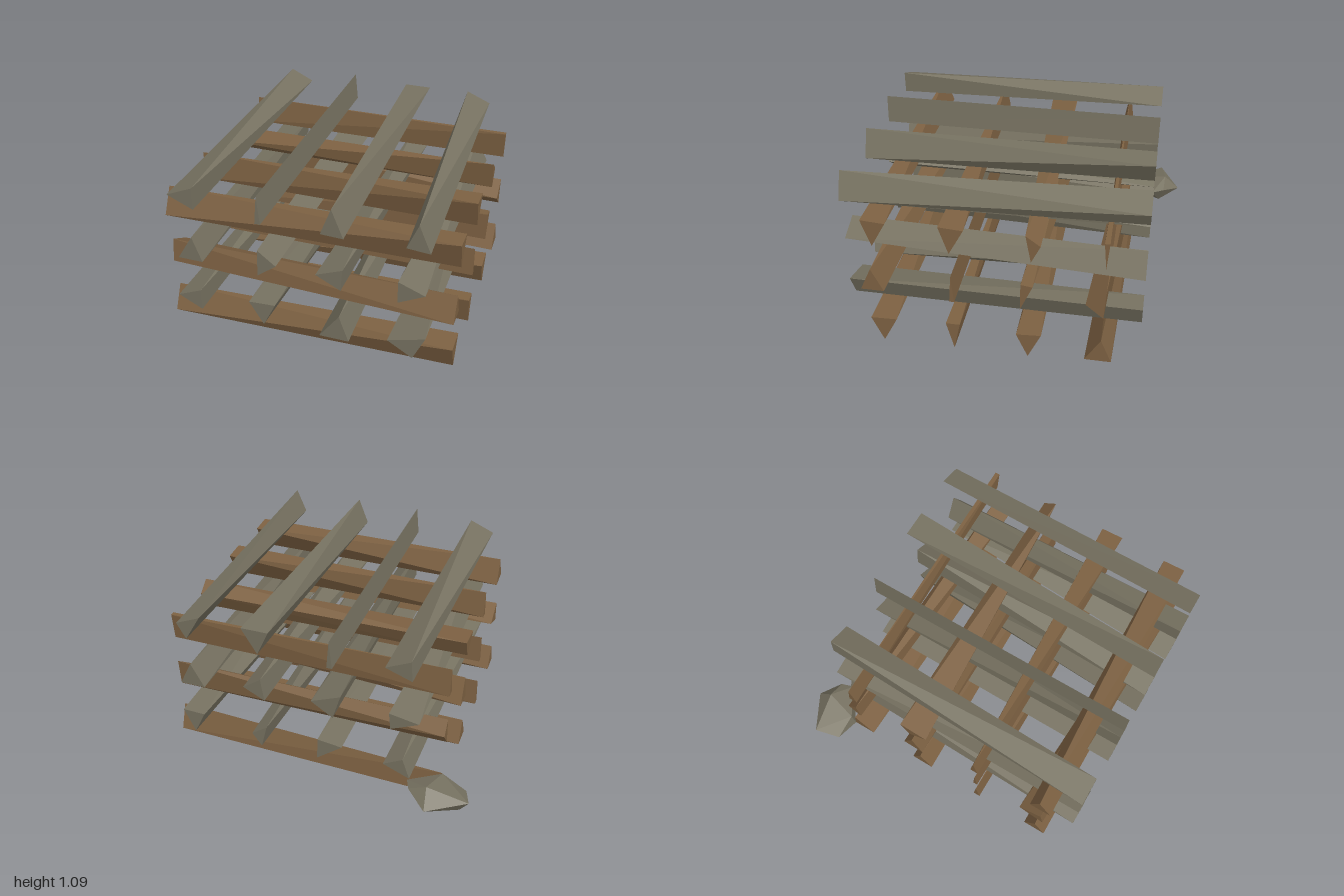
import * as THREE from 'three';
import { ConvexGeometry } from 'three/addons/geometries/ConvexGeometry.js';

export function createModel() {
  const model = new THREE.Group();
  const brownWood = new THREE.MeshStandardMaterial({ color: 0x7d6142 });
  const greyWood = new THREE.MeshStandardMaterial({ color: 0x777261 });
  const V = (x, y, z) => new THREE.Vector3(x, y, z);

  const addHull = (name, points, material) => {
    const mesh = new THREE.Mesh(new ConvexGeometry(points), material);
    mesh.name = name;
    model.add(mesh);
  };

  // Each log is a hewn beam between two triangular ends.
  // End triangles are [across, up] pairs: first the +end, then the -end.
  const crossLogs = [
    // bottom layer, across = z
    [[[0.81, 0.17], [0.65, 0.175], [0.74, 0]], [[0.755, 0.185], [0.68, 0.03], [0.83, 0.03]]],
    [[[0.345, 0.19], [0.26, 0.19], [0.3, 0]], [[0.3, 0.19], [0.28, 0.005], [0.325, 0.005]]],
    [[[-0.08, 0.165], [-0.23, 0.175], [-0.15, 0]], [[-0.14, 0.185], [-0.06, 0.03], [-0.21, 0.035]]],
    [[[-0.585, 0.19], [-0.49, 0.03], [-0.65, 0.03]], [[-0.67, 0.185], [-0.695, 0.03], [-0.54, 0.03]]],
    // middle layer
    [[[0.78, 0.545], [0.85, 0.39], [0.71, 0.39]], [[0.78, 0.54], [0.63, 0.455], [0.8, 0.39]]],
    [[[0.3, 0.55], [0.285, 0.365], [0.315, 0.365]], [[0.3, 0.55], [0.285, 0.365], [0.315, 0.365]]],
    [[[-0.11, 0.55], [-0.105, 0.365], [-0.18, 0.54]], [[-0.17, 0.55], [-0.105, 0.365], [-0.245, 0.38]]],
    [[[-0.485, 0.455], [-0.6, 0.545], [-0.59, 0.365]], [[-0.67, 0.465], [-0.6, 0.545], [-0.59, 0.365]]],
    // upper layer
    [[[0.805, 0.895], [0.66, 0.885], [0.75, 0.72]], [[0.755, 0.905], [0.695, 0.735], [0.835, 0.745]]],
    [[[0.355, 0.9], [0.21, 0.89], [0.3, 0.72]], [[0.3, 0.9], [0.275, 0.725], [0.325, 0.725]]],
    [[[-0.14, 0.9], [-0.17, 0.72], [-0.225, 0.835]], [[-0.04, 0.82], [-0.22, 0.84], [-0.17, 0.72]]],
    [[[-0.575, 0.9], [-0.605, 0.9], [-0.59, 0.725]], [[-0.59, 0.9], [-0.56, 0.725], [-0.615, 0.725]]],
  ];
  const lengthLogs = [
    // bottom layer, across = x
    [[[-0.675, 0.28], [-0.525, 0.345], [-0.525, 0.205]], [[-0.46, 0.28], [-0.58, 0.345], [-0.625, 0.21]]],
    [[[-0.21, 0.34], [-0.045, 0.35], [-0.12, 0.195]], [[-0.2, 0.33], [-0.04, 0.205], [-0.045, 0.35]]],
    [[[0.35, 0.37], [0.23, 0.205], [0.41, 0.205]], [[0.29, 0.35], [0.39, 0.28], [0.33, 0.195]]],
    [[[0.64, 0.28], [0.86, 0.345], [0.79, 0.19]], [[0.715, 0.34], [0.86, 0.345], [0.79, 0.19]]],
    // middle layer
    [[[-0.555, 0.72], [-0.65, 0.56], [-0.495, 0.56]], [[-0.67, 0.635], [-0.49, 0.67], [-0.5, 0.56]]],
    [[[-0.145, 0.545], [-0.03, 0.635], [-0.14, 0.72]], [[-0.195, 0.71], [-0.01, 0.635], [-0.145, 0.545]]],
    [[[0.21, 0.635], [0.37, 0.7], [0.36, 0.56]], [[0.425, 0.63], [0.31, 0.71], [0.29, 0.56]]],
    [[[0.69, 0.7], [0.845, 0.64], [0.69, 0.56]], [[0.85, 0.56], [0.69, 0.56], [0.77, 0.715]]],
    // top layer
    [[[-0.685, 0.985], [-0.525, 1.055], [-0.525, 0.915]], [[-0.46, 0.985], [-0.61, 1.055], [-0.62, 0.925]]],
    [[[-0.13, 1.08], [-0.147, 0.9], [-0.113, 0.9]], [[-0.13, 1.08], [-0.147, 0.9], [-0.113, 0.9]]],
    [[[0.305, 1.085], [0.24, 0.915], [0.375, 0.91]], [[0.24, 1.055], [0.41, 1.055], [0.315, 0.895]]],
    [[[0.79, 1.085], [0.86, 0.92], [0.725, 0.93]], [[0.675, 1.065], [0.83, 1.0], [0.775, 0.9]]],
  ];
  crossLogs.forEach(([right, left], i) => addHull('crossLog' + (i + 1), [
    ...right.map(([z, y]) => V(0.99, y, z)),
    ...left.map(([z, y]) => V(-0.79, y, z)),
  ], brownWood));
  lengthLogs.forEach(([front, back], i) => addHull('lengthLog' + (i + 1), [
    ...front.map(([x, y]) => V(x, y, 0.97)),
    ...back.map(([x, y]) => V(x, y, -0.81)),
  ], greyWood));

  // Loose stone by the back right corner
  addHull('stone', [
    V(-1, 0.17, -0.855), V(-0.94, 0.05, -0.8), V(-0.955, 0.12, -0.705), V(-0.765, 0.15, -0.985),
    V(-0.8, 0.08, -0.675), V(-0.75, 0.25, -0.885), V(-0.64, 0.2, -0.88), V(-0.61, 0.19, -0.8),
    V(-0.8, 0.2, -0.69), V(-0.7, 0.08, -0.85), V(-0.79, 0.05, -0.81),
  ], greyWood);

  return model;
}
